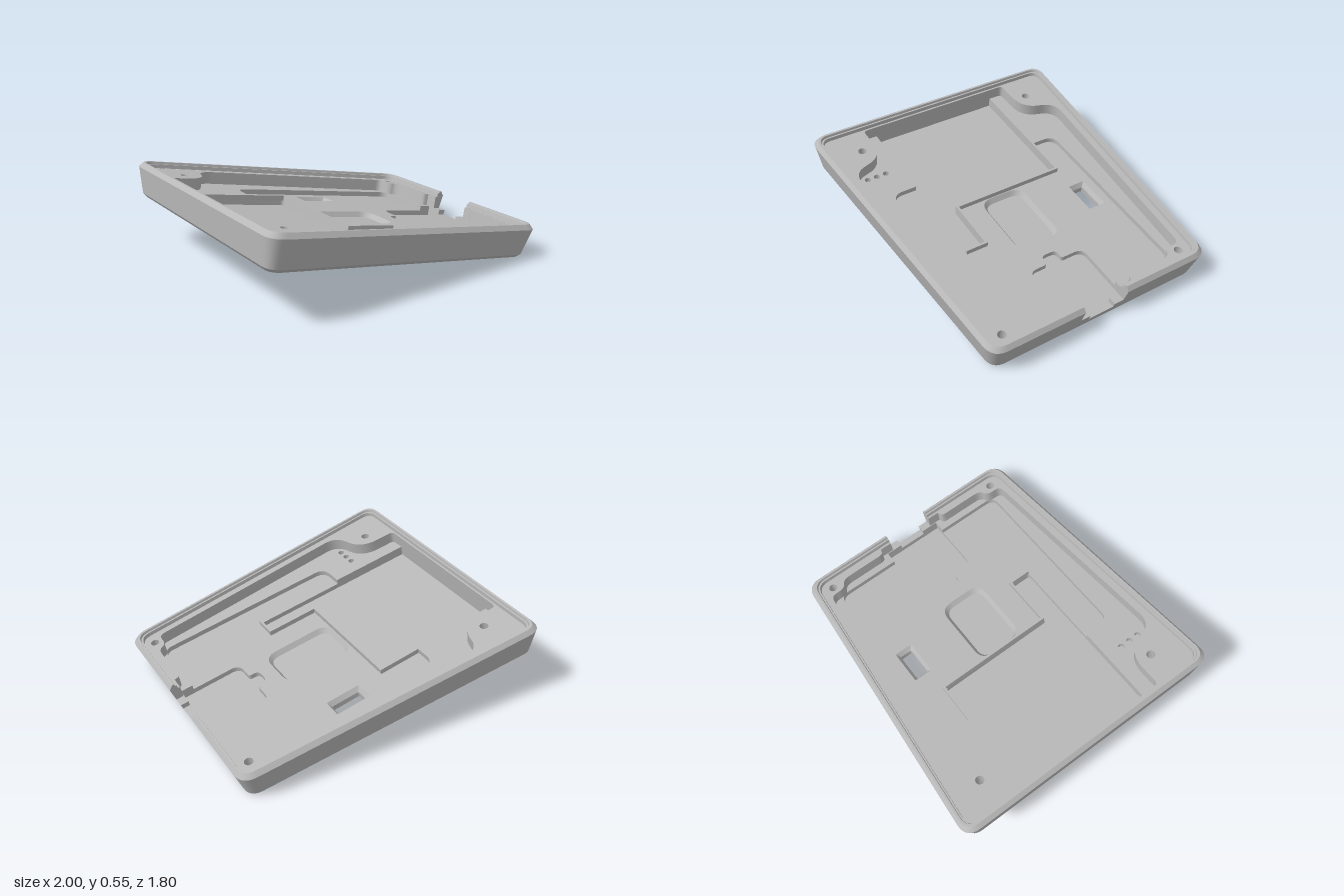
import * as THREE from 'three';
import { toCreasedNormals } from 'three/addons/utils/BufferGeometryUtils.js';

const TILT = THREE.MathUtils.degToRad(10);
const FLOOR = 0.035, POCKET = 0.067, DECK = 0.1, SHELF = 0.18, TOP = 0.22;
const NOTCH = 0.155, SLIT = 0.09; // half widths of the stepped notch in the low wall
const CORE = 0.056; // inset of the stacked layers behind the outer shell

// Rounds the corners of a path given as [x, z, radius]
function rounded(pts, closed = true) {
  const out = [], n = pts.length;
  pts.forEach(([x, z, r = 0], i) => {
    const p = new THREE.Vector2(x, z);
    if (!r || (!closed && (i === 0 || i === n - 1))) { out.push(p); return; }
    const toward = ([qx, qz]) => {
      const d = new THREE.Vector2(qx, qz).sub(p);
      return d.setLength(Math.min(r, d.length() * 0.49)).add(p);
    };
    const a = toward(pts[(i + n - 1) % n]), b = toward(pts[(i + 1) % n]);
    out.push(...new THREE.QuadraticBezierCurve(a, p, b).getPoints(8));
  });
  return out;
}

// Tapered outer outline, starting and ending at the notch in the low wall
function outline(inset, gap) {
  const xr = 0.977 - inset, xl = -1.049 + inset, r = 0.1 - inset * 0.5;
  const zr = 0.777 - inset, zl = 0.907 - inset;
  return rounded([[xr, gap], [xr, zr, r], [xl, zl, r], [xl, -zl, r], [xr, -zr, r], [xr, -gap]], false);
}

const rect = (x0, x1, z0, z1, r = 0) => rounded([[x0, z0, r], [x1, z0, r], [x1, z1, r], [x0, z1, r]]);

const circle = (x, z, r) => Array.from({ length: 20 }, (_, i) => {
  const a = i / 20 * Math.PI * 2;
  return new THREE.Vector2(x + r * Math.cos(a), z + r * Math.sin(a));
});

// Horizontal slab between two heights
function slab(pts, holes, y0, y1) {
  const shape = new THREE.Shape(pts);
  shape.holes = holes.map(h => new THREE.Path(h));
  const geo = new THREE.ExtrudeGeometry(shape, { depth: y1 - y0, bevelEnabled: false });
  geo.rotateX(Math.PI / 2).translate(0, y1, 0);
  return toCreasedNormals(geo, 0.6);
}

// Cross-section in x and y, run along z
function prism(profile, z0, z1) {
  const shape = new THREE.Shape(profile.map(([x, y]) => new THREE.Vector2(x, y)));
  return new THREE.ExtrudeGeometry(shape, { depth: z1 - z0, bevelEnabled: false }).translate(0, 0, z0);
}

// Skin through rings of equal point count, each [points, height]
function loft(rings, closed) {
  const pos = [], idx = [], n = rings[0][0].length;
  rings.forEach(([pts, y]) => pts.forEach(p => pos.push(p.x, y, p.y)));
  for (let k = 0; k < rings.length - 1; k++) {
    for (let i = 0; i < (closed ? n : n - 1); i++) {
      const j = (i + 1) % n, a = k * n + i, b = k * n + j, c = a + n, d = b + n;
      idx.push(a, c, b, b, c, d);
    }
  }
  const geo = new THREE.BufferGeometry();
  geo.setAttribute('position', new THREE.Float32BufferAttribute(pos, 3));
  geo.setIndex(idx);
  geo.computeVertexNormals();
  return toCreasedNormals(geo, 0.4);
}

export function createModel() {
  const model = new THREE.Group();
  const tray = new THREE.Group();
  tray.name = 'tray';
  tray.rotation.z = -TILT;
  tray.position.y = 0.16;
  model.add(tray);

  const grey = new THREE.MeshStandardMaterial({ color: 0xb8b8b8 });
  grey.name = 'plain grey';
  const add = (name, geo) => {
    const mesh = new THREE.Mesh(geo, grey);
    mesh.name = name;
    tray.add(mesh);
  };

  // Outer shell: bottom chamfer, drafted wall, top chamfer and stepped inner lip
  const profile = [[CORE, 0], [0.036, 0.02], [0, 0.19], [0.022, TOP], [0.036, TOP],
    [0.04, 0.205], [0.05, 0.205], [0.053, SHELF + 0.001], [0.059, SHELF + 0.001]];
  add('outerShell', loft(profile.map(([i, y]) => [outline(i, NOTCH), y]), false));

  // Wall ends on both sides of the notch
  const section = [...profile.map(([i, y]) => [0.977 - i, y]), [0.915, 0]];
  add('notchEndFront', prism(section, NOTCH, NOTCH + 0.01));
  add('notchEndBack', prism(section, -NOTCH - 0.01, -NOTCH));

  // Stepped sill under the notch
  const sill = (x, y) => [[0.921, 0], [0.941, 0.02], [x, y], [0.91, y], [0.91, 0]];
  add('notchSill', prism(sill(0.951, POCKET), -SLIT, SLIT));
  add('notchStepFront', prism(sill(0.958, DECK), SLIT, NOTCH));
  add('notchStepBack', prism(sill(0.958, DECK), -NOTCH, -SLIT));

  const screws = r => [-0.813, 0.862].flatMap(x => [-0.645, 0.645].map(z => circle(x, z, r)));
  const slot = i => rect(0.008 + i, 0.242 - i, -0.575 + i, -0.455 - i, 0.012);
  const window = i => rect(-0.144 + i, 0.333 - i, -0.16 + i, 0.15 - i, 0.09 - i);

  // Base plate
  add('basePlate', slab(outline(CORE, SLIT), [slot(0.02), ...screws(0.037)], 0, FLOOR));

  // Lower layer with the large bay, the end pocket and the two small openings
  const bay = rounded([[-0.985, -0.455], [-0.164, -0.455, 0.02], [-0.164, 0.32],
    [0.18, 0.32, 0.02], [0.18, 0.455, 0.02], [-0.985, 0.455]]);
  const endPocket = rounded([[0.905, -0.2], [0.495, -0.2, 0.06], [0.495, -0.045, 0.02],
    [0.425, -0.045, 0.04], [0.425, 0.065, 0.04], [0.495, 0.065, 0.02], [0.495, 0.2, 0.06], [0.905, 0.2]]);
  add('lowerLayer', slab(outline(CORE, SLIT),
    [bay, endPocket, slot(0), window(0), ...screws(0.037)], FLOOR, POCKET));
  add('slotBevel', loft([[slot(0), POCKET], [slot(0.02), FLOOR]], true));
  add('windowBevel', loft([[window(0), POCKET], [window(0.022), FLOOR]], true));

  // Traces half of an inner edge and mirrors it to the other side
  const mirrored = half => rounded([...half, ...half.map(([x, z, r]) => [x, -z, r]).reverse()], false);

  // Deck layer around the shallow central recess
  const recess = mirrored([[0.905, -SLIT], [0.905, -0.2], [0.825, -0.2], [0.825, -0.63, 0.06],
    [-0.434, -0.63, 0.08], [-0.434, -0.455], [-0.985, -0.455]]);
  const ventHoles = [0.57, 0.635, 0.7].map(z => circle(-0.63, z, 0.02));
  add('deckLayer', slab([...outline(CORE, SLIT), ...recess],
    [...screws(0.037), ...ventHoles], POCKET, DECK));

  // Upper shelf with curved screw corners
  const cavity = mirrored([[0.91, -NOTCH], [0.91, -0.235], [0.872, -0.245, 0.03], [0.872, -0.56, 0.05],
    [0.811, -0.585, 0.05], [0.811, -0.69, 0.04], [-0.651, -0.785, 0.1],
    [-0.715, -0.55, 0.17], [-0.985, -0.55, 0.03]]);
  add('upperShelf', slab([...outline(CORE, NOTCH), ...cavity], screws(0.027), DECK, SHELF));

  // Thin rib between the bay and the central recess
  const t = 0.015;
  [[-0.434, -0.149, -0.455 - t, -0.455], [-0.164, -0.149, -0.455, 0.32],
    [-0.149, 0.195, 0.32 - t, 0.32], [0.18, 0.195, 0.32, 0.455]].forEach(r =>
    add('bayRib', slab(rect(...r), [], POCKET - 0.001, DECK)));

  return model;
}
